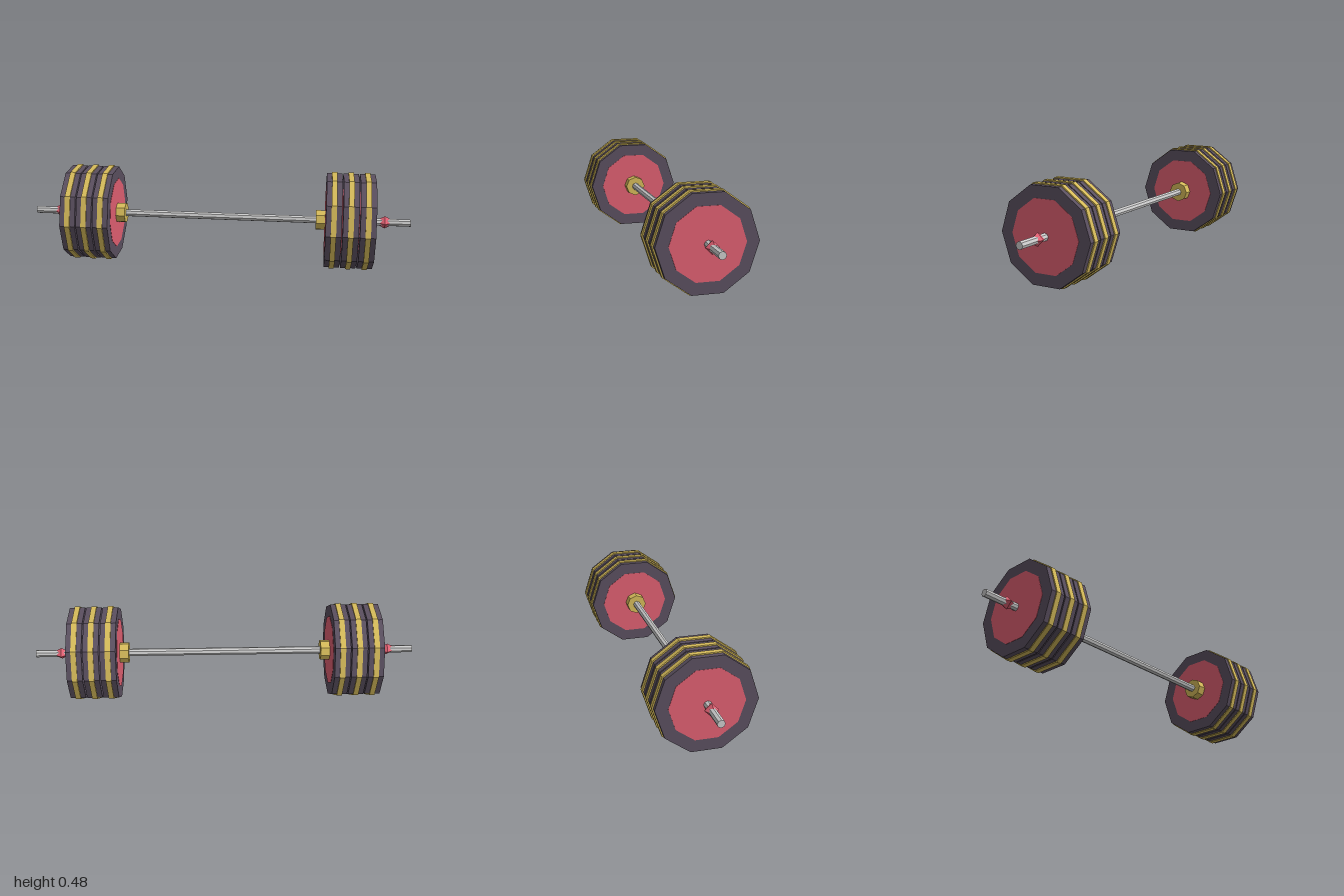
import * as THREE from 'three';

const AXIS_Y = 0.243;

const material = (color) => new THREE.MeshStandardMaterial({ color, flatShading: true });

// Prism or frustum lying along x; r0 is its radius at the -x end, r1 at the +x end
function prism(name, mat, sides, r0, r1, x0, x1, open = false) {
  const geo = new THREE.CylinderGeometry(r1, r0, x1 - x0, sides, 1, open);
  geo.rotateZ(-Math.PI / 2);
  const mesh = new THREE.Mesh(geo, mat);
  mesh.name = name;
  mesh.position.x = (x0 + x1) / 2;
  return mesh;
}

export function createModel() {
  const model = new THREE.Group();
  model.name = 'barbell';
  const steel = material(0xcccccc);
  const rubber = material(0x5b5060);
  const gold = material(0xd6bb5a);
  const red = material(0xe06072);

  const assembly = new THREE.Group();
  assembly.name = 'barAndWeights';
  assembly.position.y = AXIS_Y;
  model.add(assembly);

  // Eight-sided bar
  assembly.add(prism('bar', steel, 8, 0.0195, 0.0195, -1, 1));

  for (const side of [1, -1]) {
    const stack = new THREE.Group();
    stack.name = side > 0 ? 'leftWeights' : 'rightWeights';
    if (side < 0) stack.rotation.y = Math.PI;

    // Inner stop against the first plate
    stack.add(prism('innerCollar', gold, 8, 0.054, 0.054, 0.508, 0.57));

    // Three ten-sided plates, each with a gold rim band and red faces
    for (const x of [0.597, 0.683, 0.769]) {
      const plate = new THREE.Group();
      plate.name = 'plate';
      plate.position.x = x;
      plate.add(
        prism('plateBody', rubber, 10, 0.248, 0.248, -0.04, 0.04),
        prism('plateRim', gold, 10, 0.2545, 0.2545, -0.0135, 0.0135),
        prism('plateFace', red, 10, 0.185, 0.185, -0.0415, 0.0415)
      );
      stack.add(plate);
    }

    // Four-sided clip, widest in the middle
    stack.add(
      prism('clipInner', red, 4, 0.017, 0.034, 0.835, 0.866, true),
      prism('clipOuter', red, 4, 0.034, 0.017, 0.866, 0.897, true)
    );
    assembly.add(stack);
  }
  return model;
}
